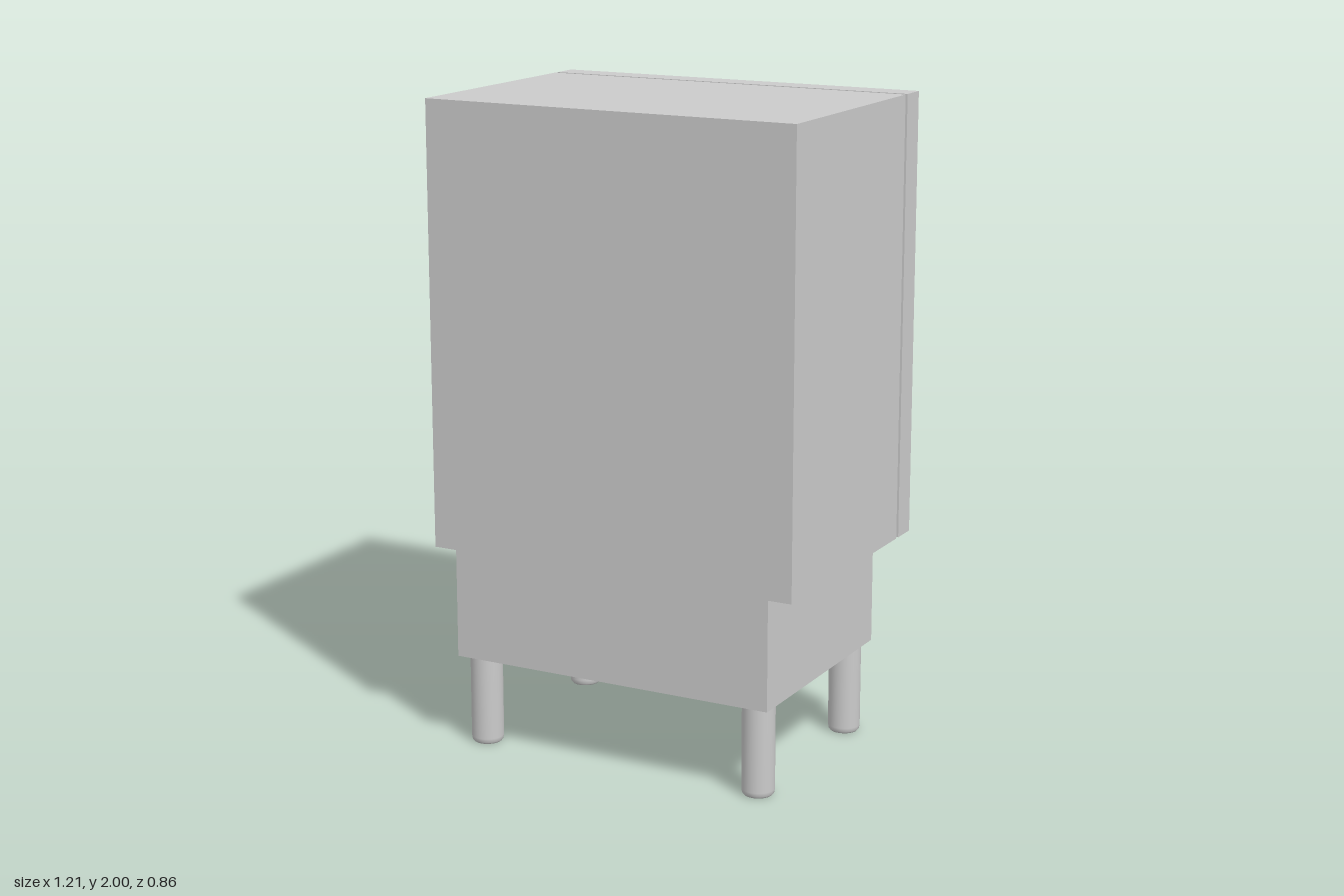
import * as THREE from 'three';

const material = new THREE.MeshStandardMaterial({ color: 0xcccccc });

function add(group, name, geometry, x = 0, y = 0, z = 0) {
  const mesh = new THREE.Mesh(geometry, material);
  mesh.name = name;
  mesh.position.set(x, y, z);
  group.add(mesh);
  return mesh;
}

// Box given by its lower and upper corners
function addBox(group, name, [x0, y0, z0], [x1, y1, z1]) {
  return add(group, name, new THREE.BoxGeometry(x1 - x0, y1 - y0, z1 - z0),
    (x0 + x1) / 2, (y0 + y1) / 2, (z0 + z1) / 2);
}

// Plinth outline seen from above, with a tapered recess cut into the back
function plinthGeometry(height) {
  const outline = [
    [-0.53, 0.43], [0.53, 0.43], [0.53, -0.31], [0.38, -0.31],
    [0.29, -0.075], [-0.29, -0.075], [-0.38, -0.31], [-0.53, -0.31],
  ];
  const shape = new THREE.Shape(outline.map(([x, z]) => new THREE.Vector2(x, -z)));
  return new THREE.ExtrudeGeometry(shape, { depth: height, bevelEnabled: false })
    .rotateX(-Math.PI / 2);
}

// Small pedal with hollowed upper and lower faces
function pedalGeometry(width, thickness, length) {
  const w = width / 2, t = thickness / 2;
  const shape = new THREE.Shape();
  shape.moveTo(-w, -t);
  shape.quadraticCurveTo(0, t * 0.4, w, -t);
  shape.lineTo(w, t);
  shape.quadraticCurveTo(0, -t * 0.2, -w, t);
  shape.closePath();
  return new THREE.ExtrudeGeometry(shape, { depth: length, bevelEnabled: false, curveSegments: 10 });
}

// Round leg with a softened foot
function legGeometry(radius, height) {
  const profile = [
    [0, 0], [radius * 0.86, 0], [radius * 0.96, 0.006],
    [radius, 0.018], [radius, height],
  ].map(([r, y]) => new THREE.Vector2(r, y));
  return new THREE.LatheGeometry(profile, 32);
}

export function createModel() {
  const model = new THREE.Group();
  model.name = 'cabinetOnLegs';

  // Cabinet body, thin seal and rear door
  addBox(model, 'cabinetBody', [-0.605, 0.625, -0.317], [0.605, 2, 0.43]);
  addBox(model, 'doorSeal', [-0.603, 0.635, -0.334], [0.59, 1.995, -0.317]);
  addBox(model, 'door', [-0.605, 0.625, -0.417], [0.605, 2, -0.332]);

  // Round button on the door
  const button = new THREE.CylinderGeometry(0.076, 0.076, 0.016, 40).rotateX(Math.PI / 2);
  add(model, 'doorButton', button, 0, 1.77, -0.422);

  // Plinth under the cabinet
  add(model, 'plinth', plinthGeometry(0.34), 0, 0.285, 0);

  // Pair of pedals and four legs
  for (const side of [-1, 1]) {
    const sideName = side > 0 ? 'Left' : 'Right';
    add(model, `pedal${sideName}`, pedalGeometry(0.1, 0.045, 0.165), side * 0.175, 0.44, -0.24);
    add(model, `frontLeg${sideName}`, legGeometry(0.05, 0.29), side * 0.47, 0, 0.362);
    add(model, `backLeg${sideName}`, legGeometry(0.05, 0.29), side * 0.47, 0, -0.245);
  }

  return model;
}
